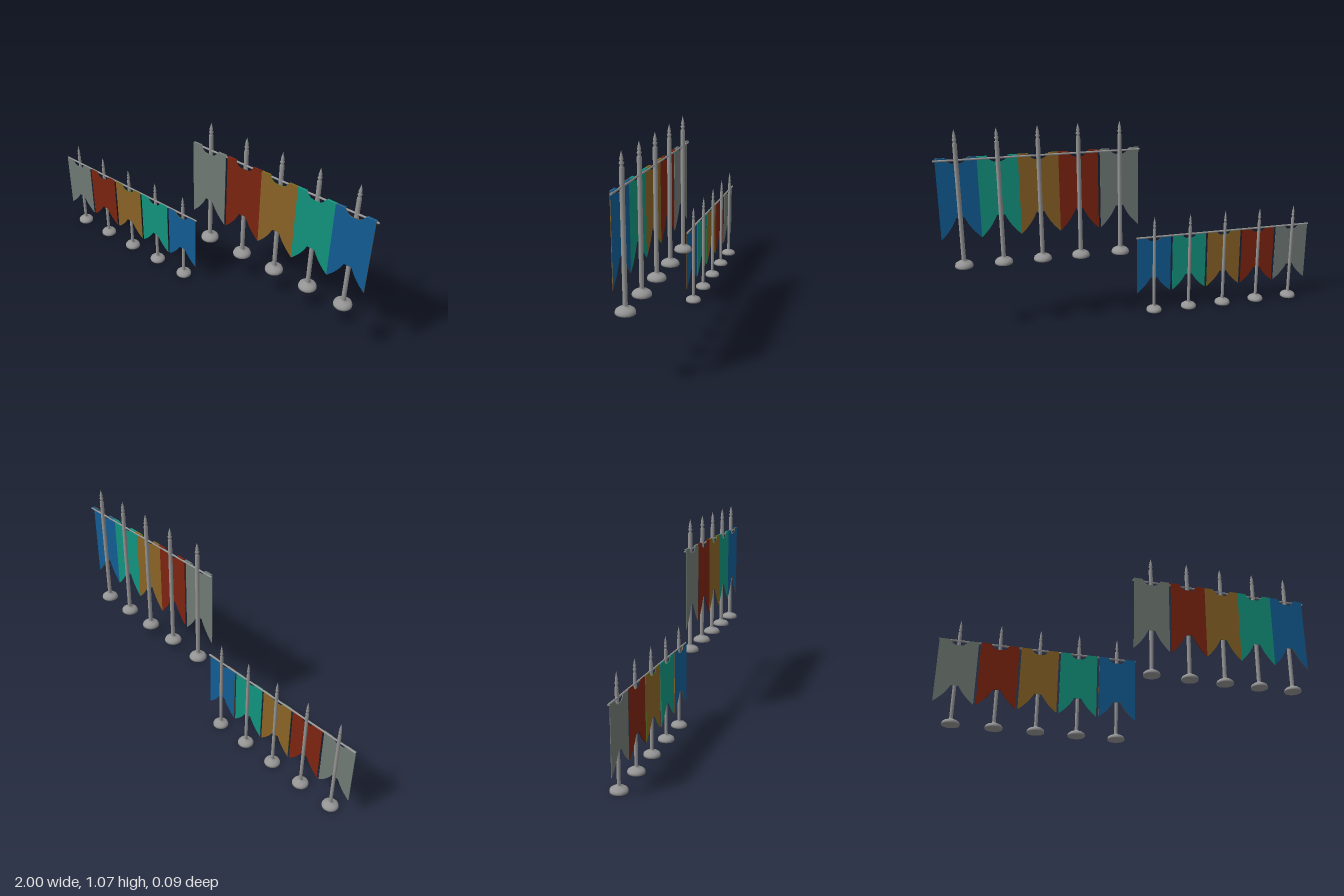
import * as THREE from 'three';

const mat = (name, color, side = THREE.FrontSide) => {
  const m = new THREE.MeshStandardMaterial({ color, side });
  m.name = name;
  return m;
};

export function createModel() {
  const metal = mat('grey metal', 0x949494);
  const grey = mat('grey cloth', 0x707a75);
  const red = mat('red cloth', 0x7c2410);
  const gold = mat('gold cloth', 0x8a6326);
  const teal = mat('teal cloth', 0x12947e);
  const blue = mat('blue cloth', 0x125c94);
  const green = mat('green hem', 0x3f7a18);
  const dark = mat('dark hem', 0x4a1a0c);
  // face and hem of each banner, from the model's right to its left
  const cloths = [[grey, grey], [red, dark], [gold, green], [teal, teal], [blue, gold]];

  // Turned stand: stepped foot, pole, collar and spear tip
  function standGeometry(s) {
    const { h, foot: f, footH: fh, pole: r, spike: k } = s;
    const v = (x, y) => new THREE.Vector2(x, y);
    const pts = [
      v(0, 0), v(f, 0), v(f, 0.008), v(f * 0.93, fh * 0.5), v(f * 0.72, fh * 0.72),
      v(f * 0.4, fh * 0.85), v(r * 1.3, fh), v(r, fh + 0.004),
      v(r, h - k), v(r * 0.7, h - k + 0.001), v(r * 0.65, h - k * 0.85),
      v(r * 1.05, h - k * 0.74), v(r * 0.55, h - k * 0.62), v(r * 0.8, h - k * 0.52),
      v(r * 0.4, h - k * 0.25), v(0, h),
    ];
    // Separate bands keep the profile edges crisp
    return new THREE.LatheGeometry(pts, 24);
  }

  // Swallowtail banner with a scooped neck; its top centre is the origin
  function bannerGeometry(w, drop, cut, neck, scoop) {
    const s = new THREE.Shape();
    const a = w / 2;
    s.moveTo(-a, 0);
    s.lineTo(-a, -drop);
    s.quadraticCurveTo(-a * 0.45, -drop + (drop - cut) * 0.45, -a * 0.2, -cut);
    s.lineTo(a * 0.2, -cut);
    s.quadraticCurveTo(a * 0.45, -drop + (drop - cut) * 0.45, a, -drop);
    s.lineTo(a, 0);
    s.lineTo(neck, 0);
    s.bezierCurveTo(neck * 0.75, -scoop * 0.6, neck * 0.6, -scoop, neck * 0.3, -scoop);
    s.lineTo(-neck * 0.3, -scoop);
    s.bezierCurveTo(-neck * 0.6, -scoop, -neck * 0.75, -scoop * 0.6, -neck, 0);
    return new THREE.ExtrudeGeometry(s, { depth: 0.003, bevelEnabled: false, curveSegments: 8 });
  }

  // One row: five stands, five banners and a shared crossbar
  function bannerRow(name, s) {
    const row = new THREE.Group();
    row.name = name;
    row.position.y = s.y;
    const add = (partName, geo, material, x, y, z) => {
      const m = new THREE.Mesh(geo, material);
      m.name = partName;
      m.position.set(x, y, z);
      row.add(m);
      return m;
    };
    const stand = standGeometry(s);
    const banner = bannerGeometry(s.w, s.drop, s.cut, s.neck, s.scoop);
    s.xs.forEach((x, i) => {
      add('stand', stand, metal, x, 0, 0);
      add('banner', banner, cloths[i], x, s.top, s.pole - 0.001);
      // Cloth folded over the bar on each side of the neck
      if (s.fold) for (const side of [-1, 1]) {
        const len = s.w / 2 - s.neck;
        add('bannerFold', new THREE.BoxGeometry(len, 0.004, s.pole), cloths[i][0],
          x + side * (s.neck + len / 2), s.top - 0.002, s.pole / 2 + 0.001);
      }
    });
    const bar = new THREE.CylinderGeometry(0.005, 0.005, s.bar[1] - s.bar[0], 12);
    bar.rotateZ(Math.PI / 2);
    add('crossbar', bar, metal, (s.bar[0] + s.bar[1]) / 2, s.barY, 0.004);
    return row;
  }

  const model = new THREE.Group();
  model.name = 'bannerDisplay';
  model.add(
    bannerRow('lowerRow', {
      y: 0, h: 0.545, foot: 0.042, footH: 0.03, pole: 0.0085, spike: 0.07,
      xs: [-0.904, -0.705, -0.506, -0.307, -0.108],
      w: 0.188, top: 0.433, drop: 0.325, cut: 0.238, neck: 0.045, scoop: 0.027,
      bar: [-1, -0.01], barY: 0.43, fold: false,
    }),
    bannerRow('upperRow', {
      y: 0.364, h: 0.706, foot: 0.046, footH: 0.034, pole: 0.011, spike: 0.07,
      xs: [0.08, 0.291, 0.491, 0.69, 0.889],
      w: 0.2, top: 0.564, drop: 0.42, cut: 0.307, neck: 0.052, scoop: 0.031,
      bar: [-0.024, 1], barY: 0.553, fold: true,
    }),
  );
  return model;
}
